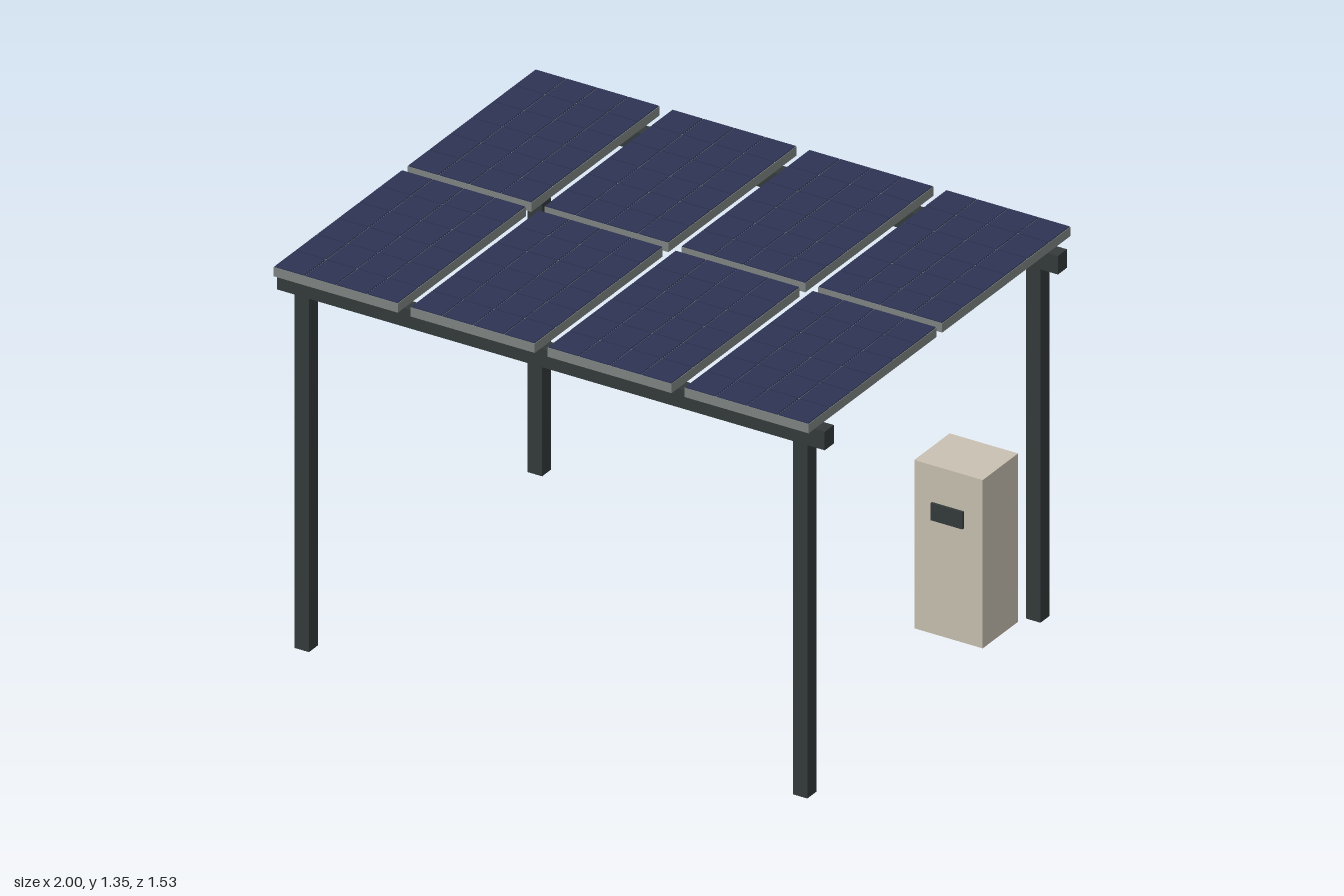
import * as THREE from 'three';

const material = (name, color) => {
  const m = new THREE.MeshStandardMaterial({ color });
  m.name = name;
  return m;
};

export function createModel() {
  const steel = material('dark steel', 0x343a3a);
  const frameGrey = material('frame grey', 0x7f8582);
  const cellBlue = material('cell blue', 0x2d3353);
  const cabinetBeige = material('cabinet beige', 0xc9c1b2);

  const model = new THREE.Group();
  model.name = 'solarCarport';

  const addBox = (parent, name, mat, [w, h, d], [x, y, z]) => {
    const mesh = new THREE.Mesh(new THREE.BoxGeometry(w, h, d), mat);
    mesh.name = name;
    mesh.position.set(x, y, z);
    parent.add(mesh);
  };

  // Two long beams, each on a pair of posts
  for (const side of [1, -1]) {
    const z = side * 0.682;
    const end = side > 0 ? 'front' : 'back';
    addBox(model, `${end}Beam`, steel, [2, 0.065, 0.053], [0, 1.273, z]);
    for (const x of [-0.91, 0.91]) {
      addBox(model, `${end}${x > 0 ? 'Left' : 'Right'}Post`, steel, [0.053, 1.241, 0.053], [x, 0.6205, z]);
    }
  }

  // One panel: a grey frame slab with a grid of thin cells on top
  const width = 0.453, length = 0.749, cols = 4, rows = 6, gap = 0.004;
  const makePanel = () => {
    const panel = new THREE.Group();
    panel.name = 'solarPanel';
    addBox(panel, 'panelFrame', frameGrey, [width, 0.032, length], [0, 0.016, 0]);
    const cw = width / cols, cl = length / rows;
    for (let c = 0; c < cols; c++) {
      for (let r = 0; r < rows; r++) {
        addBox(panel, 'solarCell', cellBlue, [cw - gap, 0.003, cl - gap],
          [(c + 0.5) * cw - width / 2, 0.0335, (r + 0.5) * cl - length / 2]);
      }
    }
    return panel;
  };

  // Two rows of four panels
  for (const z of [-0.391, 0.391]) {
    for (const x of [-0.75, -0.25, 0.25, 0.75]) {
      const panel = makePanel();
      panel.position.set(x, 1.319, z);
      model.add(panel);
    }
  }

  // Battery cabinet with a small display
  const cabinet = new THREE.Group();
  cabinet.name = 'batteryCabinet';
  addBox(cabinet, 'cabinetBody', cabinetBeige, [0.25, 0.591, 0.207], [0.749, 0.2955, -0.521]);
  addBox(cabinet, 'cabinetDisplay', steel, [0.116, 0.06, 0.009], [0.747, 0.432, -0.413]);
  model.add(cabinet);

  return model;
}
